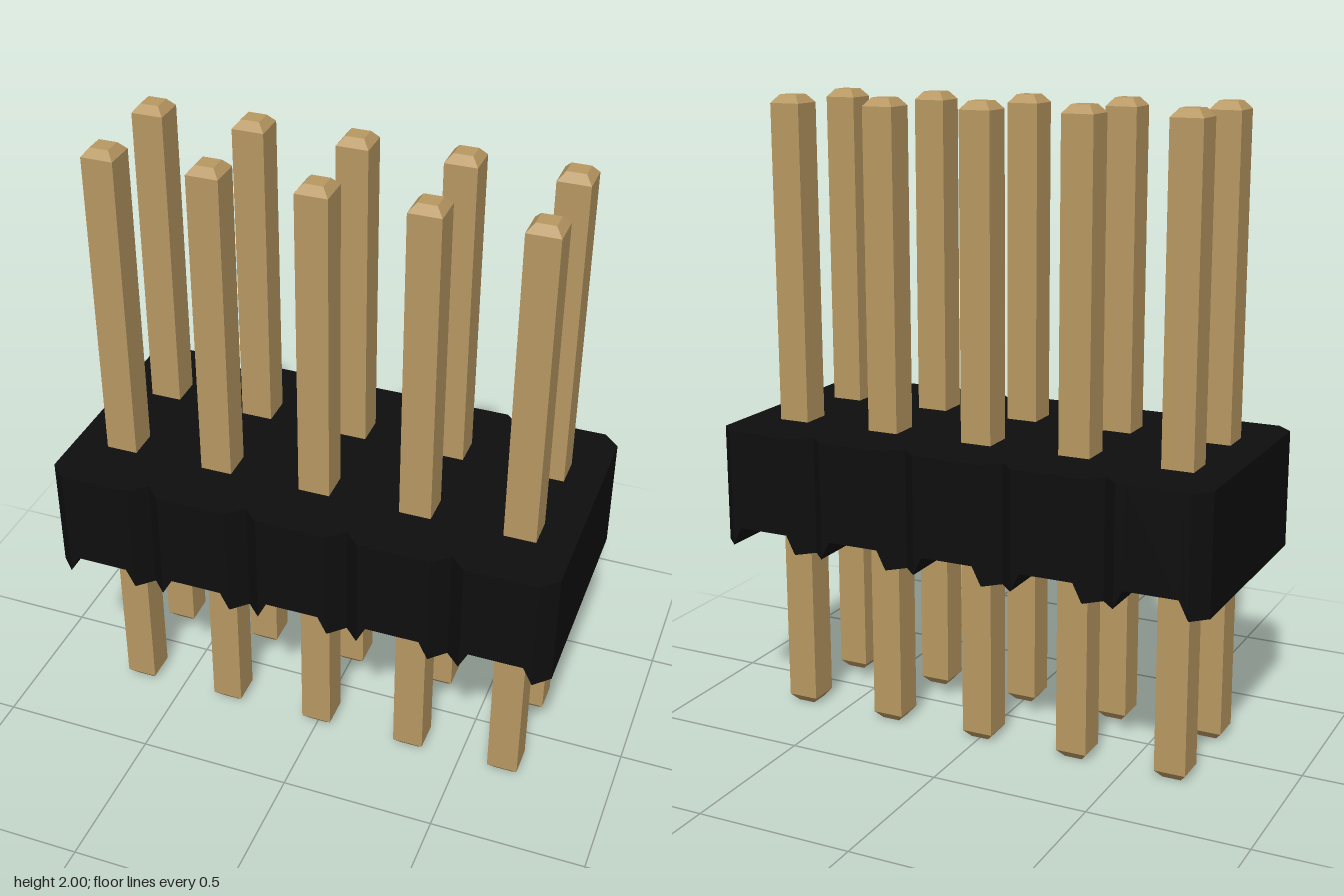
import * as THREE from 'three';

const COLS = 5, PITCH = 0.325, ROW_Z = 0.1625;
const TOP = 0.975, BOTTOM = 0.6, CHANNEL = 0.66;
const DEPTH = 0.408, CHAMFER = 0.05;

// Housing: rectangular cross-sections lofted along x, with V notches between
// the cells (front and back) and a flared channel under each cell.
function housingGeometry() {
  // [distance from cell border, underside height, half depth]
  const rise = (d) => BOTTOM + (CHANNEL - BOTTOM) * (d - 0.0475) / 0.03;
  const half = [
    [0, BOTTOM, DEPTH - CHAMFER],
    [0.0475, BOTTOM, DEPTH - CHAMFER + 0.0475],
    [CHAMFER, rise(CHAMFER), DEPTH],
    [0.0775, CHANNEL, DEPTH],
  ];
  const cell = [...half, ...half.slice(1).reverse().map(([d, y, z]) => [PITCH - d, y, z])];
  const stations = [];
  for (let c = 0; c < COLS; c++) {
    for (const [d, y, z] of cell) stations.push([(c - COLS / 2) * PITCH + d, y, z]);
  }
  stations.push([COLS / 2 * PITCH, half[0][1], half[0][2]]);

  const rings = stations.map(([x, y, z]) => [[x, y, z], [x, y, -z], [x, TOP, -z], [x, TOP, z]]);
  const pos = [];
  const quad = (a, b, c, d) => pos.push(...a, ...b, ...c, ...a, ...c, ...d);
  for (let i = 0; i < rings.length - 1; i++) {
    const r = rings[i], s = rings[i + 1];
    for (let k = 0; k < 4; k++) {
      const n = (k + 1) % 4;
      quad(r[k], r[n], s[n], s[k]);
    }
  }
  quad(...[...rings[0]].reverse());
  quad(...rings[rings.length - 1]);

  const geo = new THREE.BufferGeometry();
  geo.setAttribute('position', new THREE.Float32BufferAttribute(pos, 3));
  geo.computeVertexNormals();
  return geo;
}

// Square pin with chamfered tips: a four-sided lathe with flat faces.
function pinGeometry() {
  const profile = [[0, 0], [0.029, 0], [0.05, 0.025], [0.05, 1.975], [0.029, 2], [0, 2]];
  const points = profile.map(([w, y]) => new THREE.Vector2(w * Math.SQRT2, y));
  const geo = new THREE.LatheGeometry(points, 4, Math.PI / 4).toNonIndexed();
  geo.computeVertexNormals();
  return geo;
}

export function createModel() {
  const black = new THREE.MeshStandardMaterial({ color: 0x0e0e0e });
  black.name = 'black plastic';
  const gold = new THREE.MeshStandardMaterial({ color: 0xb89862 });
  gold.name = 'gold metal';

  const model = new THREE.Group();
  model.name = 'pinHeader';

  const housing = new THREE.Mesh(housingGeometry(), black);
  housing.name = 'housing';
  model.add(housing);

  // Two rows of pins
  const pinGeo = pinGeometry();
  for (const [row, z] of [['front', ROW_Z], ['back', -ROW_Z]]) {
    for (let c = 0; c < COLS; c++) {
      const pin = new THREE.Mesh(pinGeo, gold);
      pin.name = `${row}Pin${c + 1}`;
      pin.position.set((c - (COLS - 1) / 2) * PITCH, 0, z);
      model.add(pin);
    }
  }
  return model;
}
